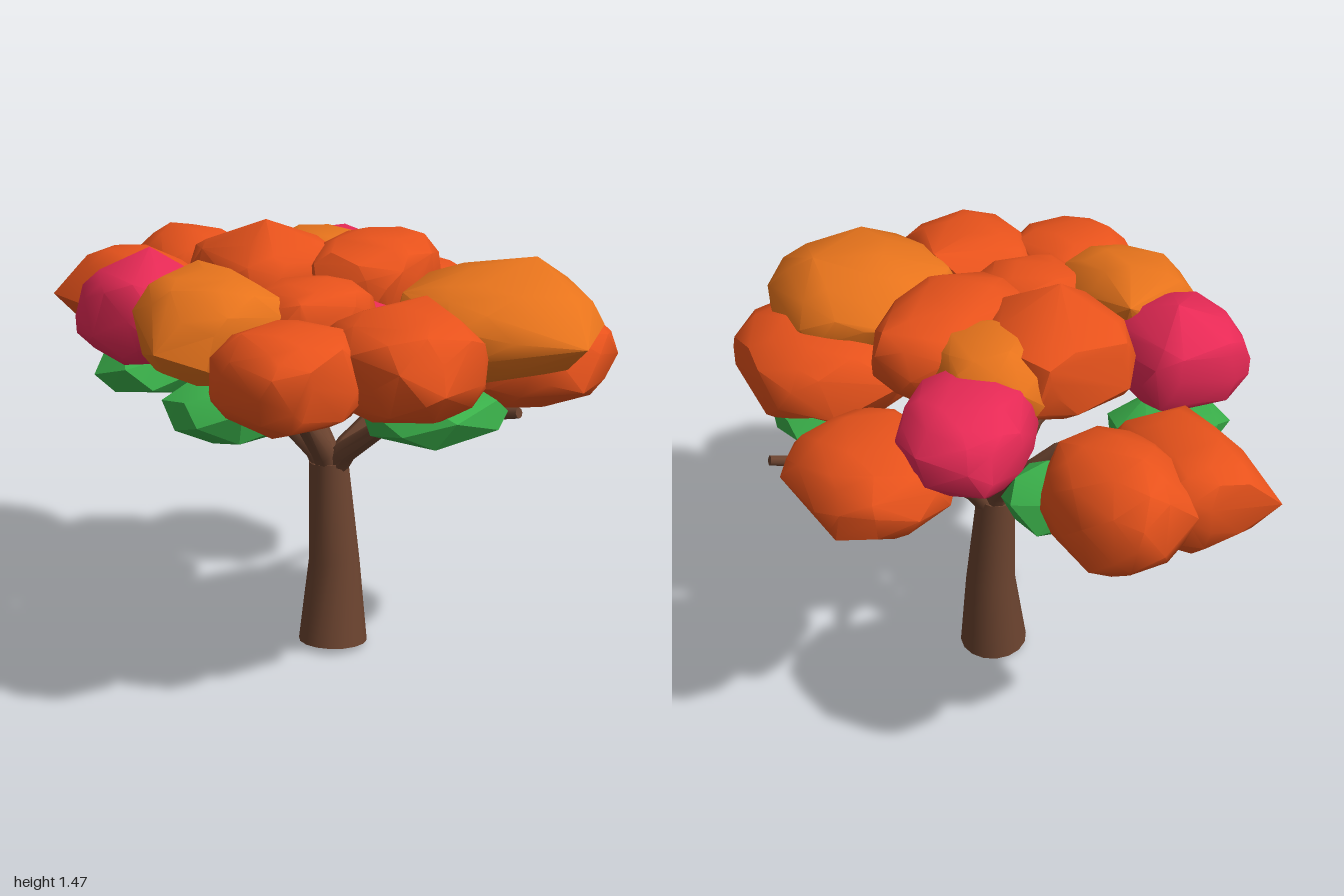
import * as THREE from 'three';
import { toCreasedNormals } from 'three/addons/utils/BufferGeometryUtils.js';
import { ConvexGeometry } from 'three/addons/geometries/ConvexGeometry.js';

const UP = new THREE.Vector3(0, 1, 0);
const V = (a) => new THREE.Vector3(...a);

const paint = (name, color) => {
  const m = new THREE.MeshStandardMaterial({ color });
  m.name = name;
  return m;
};

// Small seeded random generator
function seeded(seed) {
  let s = seed * 7919 + 17;
  return () => (s = (s * 16807) % 2147483647) / 2147483647;
}

// Tapered limb through a few points with a radius at each
function limb(points, radii, sides) {
  const P = points.map(V), n = P.length - 1;
  const turns = P.map((p, i) => {
    const dir = P[Math.min(i + 1, n)].clone().sub(P[Math.max(i - 1, 0)]).normalize();
    return new THREE.Quaternion().setFromUnitVectors(UP, dir);
  });
  const geo = new THREE.CylinderGeometry(1, 1, 1, sides, n);
  const pos = geo.attributes.position, v = new THREE.Vector3();
  for (let i = 0; i < pos.count; i++) {
    const k = Math.round((pos.getY(i) + 0.5) * n);
    v.set(pos.getX(i) * radii[k], 0, pos.getZ(i) * radii[k]).applyQuaternion(turns[k]).add(P[k]);
    pos.setXYZ(i, v.x, v.y, v.z);
  }
  return toCreasedNormals(geo, 0.8);
}

// Faceted clump: hull of jittered points on a boxy ellipsoid, with optional pointed corners
function clump(centre, size, seed, { yaw = 0, tips = [], count = 60, power = 0.78, crease = 0.7 } = {}) {
  const rand = seeded(seed), pts = [];
  const square = (t) => Math.sign(t) * Math.abs(t) ** power;
  for (let i = 0; i < count; i++) {
    const y = 1 - (2 * (i + 0.5)) / count, r = Math.sqrt(1 - y * y);
    const a = i * 2.39996 + seed + rand() * 0.5;
    const p = new THREE.Vector3(square(r * Math.cos(a)), square(y), square(r * Math.sin(a)));
    pts.push(p.multiplyScalar(0.92 + 0.1 * rand()));
  }
  // Fit the points to the clump's own size, then turn and place them
  const box = new THREE.Box3().setFromPoints(pts);
  const mid = box.getCenter(new THREE.Vector3()), span = box.getSize(new THREE.Vector3());
  for (const p of pts) p.sub(mid).divide(span).multiply(V(size)).applyAxisAngle(UP, yaw).add(V(centre));
  return toCreasedNormals(new ConvexGeometry(pts.concat(tips.map(V))), crease);
}

export function createModel() {
  const tree = new THREE.Group();
  tree.name = 'tree';
  const bark = paint('bark brown', 0x6b432f);
  const orange = paint('leaf orange', 0xec541c);
  const amber = paint('leaf amber', 0xe8741c);
  const crimson = paint('leaf crimson', 0xe82a56);
  const green = paint('leaf green', 0x3ab04a);

  const add = (name, geo, mat) => {
    const mesh = new THREE.Mesh(geo, mat);
    mesh.name = name;
    tree.add(mesh);
  };

  // Leaning trunk with a flared foot
  add('trunk', limb([[-0.01, 0.012, 0.065], [0.01, 0.3, 0.047], [-0.005, 0.65, 0.035]],
    [0.117, 0.086, 0.066], 16), bark);

  // Branches rise steeply to a knee, then reach out to their tips
  const branch = (name, x, y, z) => add(name, limb([[0, 0.6, 0.035], [x * 0.09, 0.69, 0.035 + z * 0.08],
    [x * 0.38, 0.86, z * 0.38 + 0.02], [x, y, z]], [0.045, 0.04, 0.028, 0.017], 8), bark);
  branch('branchLeft', 0.755, 0.975, 0.14);
  branch('branchFront', 0.13, 0.97, 0.79);
  branch('branchRightFront', -0.5, 0.97, 0.22);
  branch('branchRightBack', -0.45, 0.98, -0.3);
  branch('branchBack', 0.08, 1.0, -0.45);

  // Foliage clumps: centre, size, seed, shape options
  const leaf = (name, mat, ...shape) => add(name, clump(...shape), mat);

  // Orange canopy
  leaf('backRightClump', orange, [-0.24, 1.115, -0.715], [0.34, 0.32, 0.49], 1,
    { power: 0.65, tips: [[-0.44, 1.1, -0.965], [-0.46, 1.1, -0.47]] });
  leaf('backLeftClump', orange, [0.005, 1.12, -0.75], [0.42, 0.4, 0.5], 2, { power: 0.88 });
  leaf('sideLeftClump', orange, [0.56, 1.075, -0.21], [0.46, 0.29, 0.54], 3,
    { tips: [[0.81, 1.07, -0.09], [0.75, 1.1, -0.4]] });
  leaf('frontLeftClump', orange, [0.395, 1.065, 0.5], [0.55, 0.33, 0.62], 4,
    { tips: [[0.36, 1, 0.84], [0.27, 1.1, 0.16]] });
  leaf('frontMiddleClump', orange, [-0.24, 1.165, 0.66], [0.44, 0.33, 0.48], 5,
    { power: 0.84, tips: [[-0.3, 1.13, 0.925], [-0.04, 1.32, 0.55]] });
  leaf('frontRightClump', orange, [-0.555, 1.145, 0.52], [0.43, 0.31, 0.41], 6, { tips: [[-0.69, 1.1, 0.7]] });
  leaf('middleRightClump', orange, [-0.27, 1.21, 0.275], [0.4, 0.3, 0.33], 7);
  leaf('crownClump', orange, [-0.135, 1.26, -0.11], [0.47, 0.3, 0.48], 8, { power: 0.65, tips: [[-0.18, 1.475, -0.07]] });
  leaf('centreLeftClump', orange, [0.12, 1.265, 0.115], [0.58, 0.31, 0.39], 9, { yaw: 0.5 });

  // Amber clumps
  leaf('amberFrontClump', amber, [0.21, 1.205, 0.6], [0.65, 0.34, 0.6], 10,
    { power: 0.84, tips: [[0.2, 1.2, 1], [0.38, 1.39, 0.6], [0.25, 1.25, 0.25]] });
  leaf('amberRightClump', amber, [-0.545, 1.215, 0.12], [0.4, 0.34, 0.46], 11,
    { power: 0.85, tips: [[-0.81, 1.19, 0.2], [-0.4, 1.36, -0.14], [-0.71, 1.15, 0.33]] });
  leaf('amberCentreClump', amber, [0.1, 1.25, -0.125], [0.37, 0.29, 0.45], 12);

  // Crimson clumps
  leaf('crimsonRightClump', crimson, [-0.55, 1.2, -0.2], [0.41, 0.3, 0.42], 13,
    { power: 0.68, tips: [[-0.51, 1.4, -0.25]] });
  leaf('crimsonLeftClump', crimson, [0.27, 1.19, -0.29], [0.52, 0.3, 0.4], 14, { yaw: 0.85 });
  leaf('crimsonCoreClump', crimson, [-0.09, 1.17, 0.26], [0.26, 0.22, 0.28], 15);

  // Flat angular green clumps under the canopy
  const undergrowth = (name, x, z, width, depth, height, seed) =>
    leaf(name, green, [x, 0.9 + height / 2, z], [width, height, depth], seed, { count: 18, crease: 0.5 });
  undergrowth('greenRightClump', -0.55, 0.24, 0.4, 0.36, 0.18, 31);
  undergrowth('greenBackRightClump', -0.465, -0.31, 0.4, 0.31, 0.18, 32);
  undergrowth('greenBackClump', 0.055, -0.48, 0.33, 0.29, 0.18, 33);
  undergrowth('greenFrontLeftClump', 0.49, 0.33, 0.29, 0.32, 0.12, 34);
  undergrowth('greenFrontClump', -0.1, 0.65, 0.42, 0.38, 0.17, 35);
  undergrowth('greenLeftClump', 0.54, -0.12, 0.33, 0.3, 0.12, 36);

  return tree;
}
